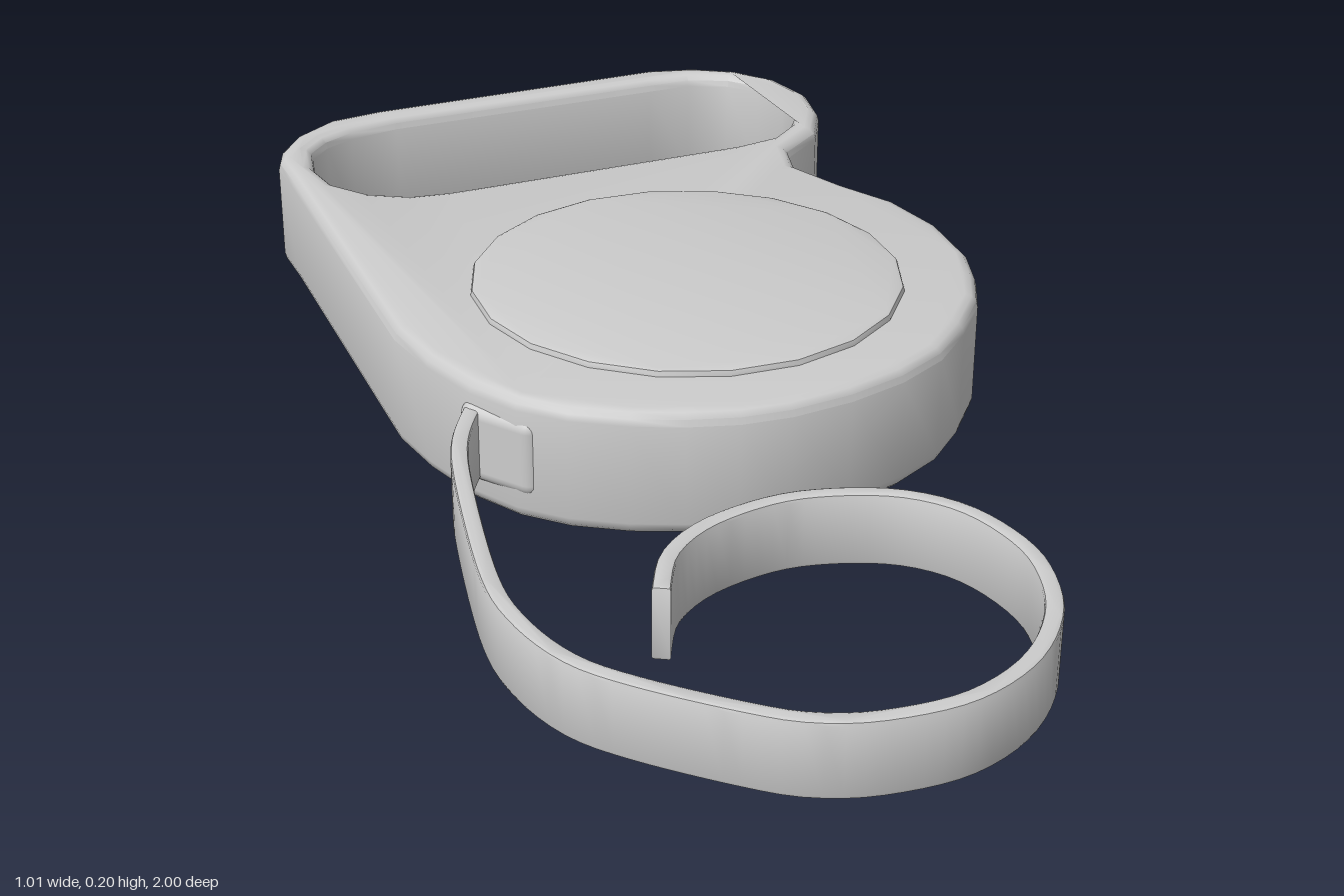
import * as THREE from 'three';
import { toCreasedNormals } from 'three/addons/utils/BufferGeometryUtils.js';
import { RoundedBoxGeometry } from 'three/addons/geometries/RoundedBoxGeometry.js';

const grey = new THREE.MeshStandardMaterial({ color: 0xcccccc });
const toPoints = (list) => list.map(([x, y]) => new THREE.Vector2(x, y));

// Extrude a plan outline (x, -z) upwards from y0 to y1 with rounded rims.
function slab(name, shape, y0, y1, bevel, bevelSegments = 3) {
  const geometry = new THREE.ExtrudeGeometry(shape, {
    depth: y1 - y0 - 2 * bevel, bevelEnabled: true, bevelSize: bevel,
    bevelThickness: bevel, bevelOffset: -bevel, bevelSegments, curveSegments: 24,
  });
  geometry.rotateX(-Math.PI / 2);
  geometry.translate(0, y0 + bevel, 0);
  const mesh = new THREE.Mesh(toCreasedNormals(geometry, 0.6), grey);
  mesh.name = name;
  return mesh;
}

export function createModel() {
  const group = new THREE.Group();
  group.name = 'retractableStrapReel';

  // Case: round housing running into a slotted handle
  const outline = new THREE.Shape(toPoints([
    [-0.508, 0.685], [-0.49, 0.605], [-0.376, 0.013], [-0.34, -0.08], [-0.29, -0.17],
    [-0.235, -0.232], [-0.17, -0.275], [-0.09, -0.305], [-0.016, -0.32], [0.058, -0.326],
    [0.132, -0.317], [0.222, -0.288], [0.305, -0.245], [0.376, -0.188], [0.43, -0.114],
    [0.476, -0.03], [0.496, 0.045], [0.506, 0.124], [0.492, 0.235], [0.45, 0.34],
    [0.386, 0.42], [0.328, 0.51], [0.333, 0.585], [0.397, 0.659], [0.423, 0.743],
    [0.423, 0.828], [0.386, 0.913], [0.323, 0.97], [0.249, 0.997], [0.169, 1.0],
    [-0.328, 0.886], [-0.413, 0.855], [-0.476, 0.79], [-0.502, 0.73],
  ]));
  // Finger slot through the handle
  outline.holes.push(new THREE.Path(toPoints([
    [-0.45, 0.72], [-0.45, 0.643], [-0.423, 0.569], [-0.37, 0.521], [-0.307, 0.5],
    [-0.243, 0.505], [0.249, 0.616], [0.317, 0.643], [0.36, 0.696], [0.386, 0.76],
    [0.38, 0.833], [0.35, 0.897], [0.302, 0.934], [0.233, 0.95], [0.159, 0.934],
    [-0.3, 0.833], [-0.38, 0.8], [-0.423, 0.765],
  ])));
  group.add(slab('case', outline, 0, 0.19, 0.02));

  // Raised round cover
  const disc = [];
  for (let i = 0; i < 20; i++) {
    const a = (i / 20) * Math.PI * 2;
    disc.push([0.066 + 0.322 * Math.cos(a), 0.1 + 0.322 * Math.sin(a)]);
  }
  group.add(slab('cover', new THREE.Shape(toPoints(disc)), 0.17, 0.2, 0.007, 2));

  // Small mouth where the strap leaves the case
  const mouth = new THREE.Mesh(new RoundedBoxGeometry(0.13, 0.12, 0.05, 3, 0.02), grey);
  mouth.name = 'strapMouth';
  mouth.position.set(-0.245, 0.0975, 0.192);
  mouth.rotation.y = -0.75;
  group.add(mouth);

  // Strap: constant-width band following a curling path
  const path = new THREE.SplineCurve(toPoints([
    [-0.25, -0.09], [-0.286, -0.17], [-0.315, -0.27], [-0.322, -0.4], [-0.317, -0.61],
    [-0.296, -0.715], [-0.249, -0.807], [-0.18, -0.87], [-0.063, -0.945], [0.005, -0.976],
    [0.085, -0.985], [0.19, -0.965], [0.28, -0.902], [0.338, -0.807], [0.354, -0.706],
    [0.338, -0.627], [0.296, -0.553], [0.228, -0.505], [0.138, -0.487], [0.058, -0.495],
    [-0.032, -0.537], [-0.09, -0.6], [-0.116, -0.68],
  ]));
  const half = 0.012, count = 100, left = [], right = [];
  for (let i = 0; i <= count; i++) {
    const p = path.getPointAt(i / count);
    const t = path.getTangentAt(i / count);
    left.push(new THREE.Vector2(p.x - t.y * half, p.y + t.x * half));
    right.unshift(new THREE.Vector2(p.x + t.y * half, p.y - t.x * half));
  }
  group.add(slab('strap', new THREE.Shape([...left, ...right]), 0.045, 0.15, 0.005, 2));

  return group;
}
